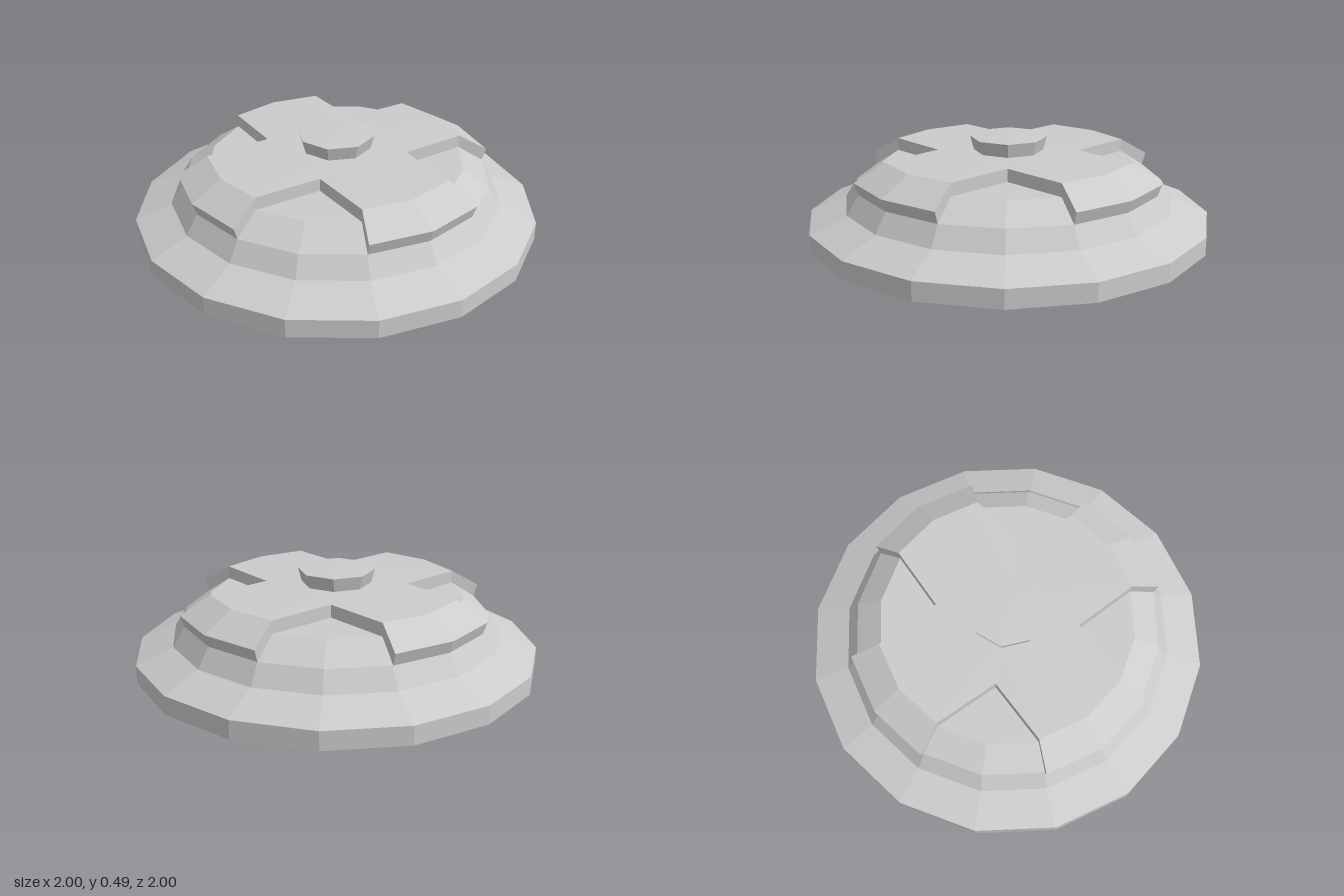
import * as THREE from 'three';

const SIDES = 16;

// Point on the sixteen-sided outline: step i, radius r, height y
const ring = (i, [r, y]) => {
  const a = (i * Math.PI * 2) / SIDES;
  return [r * Math.sin(a), y, r * Math.cos(a)];
};

// One skin of the shell, drawn as four equal quarters (one arm and one gap each)
function skin({ skirt, lip, armTop, gapTop, corner, hub }, inward) {
  const pos = [];
  const tri = (a, b, c) => pos.push(...(inward ? [a, c, b] : [a, b, c]).flat());
  const band = (i, low, high) => {
    const a = ring(i, low), b = ring(i + 1, low), c = ring(i + 1, high), d = ring(i, high);
    tri(a, b, c);
    tri(a, c, d);
  };
  const base = skirt[skirt.length - 1];

  for (let q = 0; q < 4; q++) {
    const s = q * 4;
    // stepped skirt
    for (let i = s - 1; i < s + 3; i++)
      for (let k = 0; k < skirt.length - 1; k++) band(i, skirt[k], skirt[k + 1]);

    // raised arm: end wall and bevel
    for (let i = s - 1; i < s + 1; i++) {
      band(i, base, lip);
      band(i, lip, armTop);
    }

    // arm top, running from the hub outwards
    const h0 = ring(s - 2, hub), h1 = ring(s, hub), h2 = ring(s + 2, hub);
    const cornerR = ring(s + 2, [corner, armTop[1]]);
    const cornerL = ring(s - 2, [corner, armTop[1]]);
    const p0 = ring(s - 1, armTop), p1 = ring(s, armTop), p2 = ring(s + 1, armTop);
    tri(h0, cornerL, p0);
    tri(h0, p0, h1);
    tri(h1, p0, p1);
    tri(h1, p1, p2);
    tri(h1, p2, h2);
    tri(h2, p2, cornerR);

    // sunken panel between two arms
    const c = ring(s + 2, [corner, gapTop[1]]);
    for (let i = s + 1; i < s + 3; i++) {
      band(i, base, gapTop);
      tri(c, ring(i, gapTop), ring(i + 1, gapTop));
    }

    // upright walls on both sides of the panel
    for (const i of [s + 1, s + 3]) {
      const b = ring(i, gapTop);
      const fan = [ring(i, base), ring(i, lip), ring(i, armTop), cornerR, c];
      for (let k = 0; k < 4; k++)
        if (i === s + 1) tri(b, fan[k + 1], fan[k]);
        else tri(b, fan[k], fan[k + 1]);
    }
  }
  const geo = new THREE.BufferGeometry();
  geo.setAttribute('position', new THREE.Float32BufferAttribute(pos, 3));
  geo.computeVertexNormals();
  return geo;
}

export function createModel() {
  const group = new THREE.Group();
  group.name = 'roundShield';
  const material = new THREE.MeshStandardMaterial({ color: 0xcccccc, flatShading: true });
  const add = (name, geometry) => {
    const mesh = new THREE.Mesh(geometry, material);
    mesh.name = name;
    group.add(mesh);
  };
  const lathe = (profile) =>
    new THREE.LatheGeometry(profile.map(([x, y]) => new THREE.Vector2(x, y)), 8);

  // outer face, including the underside of the rim
  add('outerShell', skin({
    skirt: [[0.97, 0], [1, 0], [1, 0.09], [0.82, 0.165], [0.76, 0.26]],
    lip: [0.78, 0.32], armTop: [0.63, 0.408], gapTop: [0.63, 0.345],
    corner: 0.35, hub: [0.17, 0.412],
  }, false));

  // hollow back, following the outer face
  add('innerShell', skin({
    skirt: [[0.97, 0], [0.97, 0.07], [0.8, 0.14], [0.735, 0.24]],
    lip: [0.75, 0.3], armTop: [0.61, 0.378], gapTop: [0.61, 0.315],
    corner: 0.32, hub: [0.18, 0.38],
  }, true));

  // flared octagonal boss and its hollow
  add('boss', lathe([[0.17, 0.405], [0.19, 0.48], [0, 0.488]]));
  add('bossHollow', lathe([[0, 0.458], [0.15, 0.455], [0.135, 0.41], [0.18, 0.38]]));

  return group;
}
